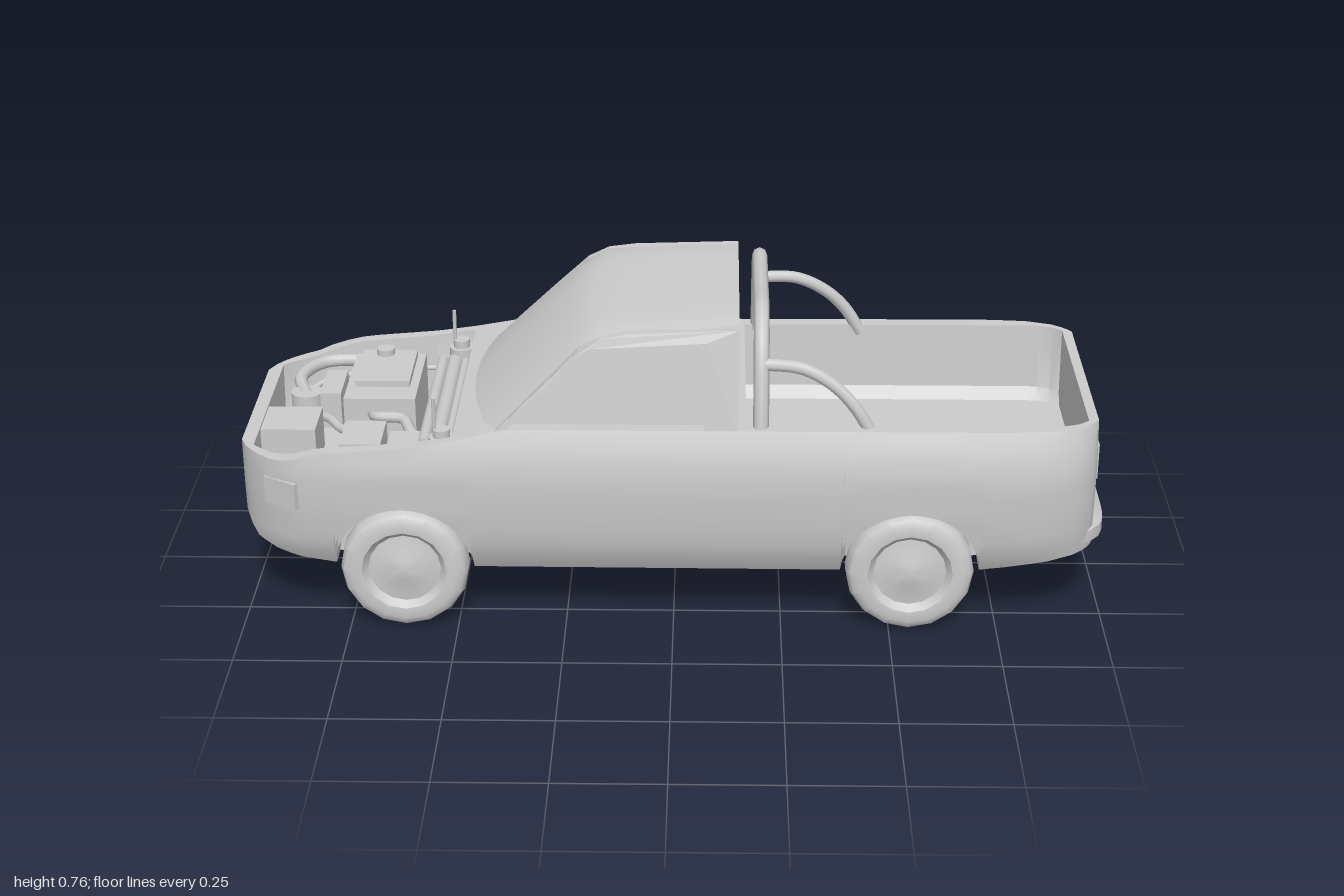
import * as THREE from 'three';
import { toCreasedNormals } from 'three/addons/utils/BufferGeometryUtils.js';

const V = (x, y, z) => new THREE.Vector3(x, y, z);
const V2 = (x, y) => new THREE.Vector2(x, y);

// piecewise-linear lookup in a table of [input, output] pairs
function look(table, t) {
  if (t <= table[0][0]) return table[0][1];
  for (let i = 1; i < table.length; i++) {
    const [a, u] = table[i - 1], [b, v] = table[i];
    if (t <= b) return u + (v - u) * (t - a) / (b - a);
  }
  return table[table.length - 1][1];
}

const halfWidth = [[-1, 0.2], [-0.985, 0.235], [-0.96, 0.27], [-0.92, 0.305], [-0.86, 0.335], [-0.75, 0.35], [-0.4, 0.357],
  [0.4, 0.361], [0.78, 0.361], [0.86, 0.352], [0.92, 0.33], [0.95, 0.305], [0.965, 0.28]];
const bottomY = [[-1, 0.235], [-0.97, 0.19], [-0.9, 0.168], [-0.78, 0.15], [-0.7, 0.145], [0.68, 0.145], [0.8, 0.165], [0.965, 0.195]];
const topY = [[-1, 0.415], [-0.9, 0.415], [-0.8, 0.445], [-0.6, 0.462], [-0.5, 0.478], [-0.38, 0.503], [0.965, 0.506]];
const bulge = [[0.145, 0.86], [0.2, 0.95], [0.3, 0.99], [0.4, 1], [0.46, 0.965], [0.506, 0.91]];
const sideZ = [[0.49, 0.328], [0.6, 0.31], [0.7, 0.292], [0.735, 0.276]];
const AXLES = [-0.62, 0.545], HUB = 0.15, ARCH = 0.16;

// half cross-section [z, y] from bottom centre, up the outside and down the inside
function section(x, floor) {
  const w = look(halfWidth, x), b = look(bottomY, x), t = look(topY, x);
  let low = b;
  for (const a of AXLES) {
    const d = ARCH * ARCH - (x - a) ** 2;
    if (d > 0) low = Math.max(low, HUB + Math.sqrt(d));
  }
  const liner = Math.min(0.24, w * 0.75);
  const pts = [[0, b], [liner, b], [liner, low]];
  for (let i = 0; i <= 9; i++) {
    const y = low + (t - low) * i / 9;
    pts.push([w * look(bulge, y), y]);
  }
  const inner = x < 0 ? w * 0.88 : Math.min(0.293, w - 0.05);
  const f = floor ?? t;
  pts.push([inner, t], [inner - 0.012, f + (t - f) * 0.15], [inner - 0.035, f], [0, f]);
  return pts;
}

function bodyGeometry() {
  const stations = [];
  const add = (x, f) => stations.push([x, f]);
  const bayFloor = 0.27, bedFloor = 0.32;
  const arch = (a, f) => {
    add(a - ARCH - 0.002, f);
    for (let i = 0; i <= 18; i++) add(a - ARCH * Math.cos(Math.PI * i / 18), f);
    add(a + ARCH + 0.002, f);
  };
  [-1, -0.985, -0.968].forEach((x) => add(x));
  [-0.968, -0.95, -0.92, -0.89, -0.86, -0.82].forEach((x) => add(x, bayFloor));
  arch(AXLES[0], bayFloor);
  // the bay ends at the bulkhead; keep the rest solid
  for (const s of stations) if (s[0] > -0.5) s[1] = undefined;
  const k = stations.findIndex((s) => s[0] > -0.5);
  stations.splice(k, 0, [-0.5, bayFloor], [-0.5, undefined]);
  [-0.38, -0.2, 0, 0.165].forEach((x) => add(x));
  [0.165, 0.28].forEach((x) => add(x, bedFloor));
  arch(AXLES[1], bedFloor);
  [0.76, 0.82, 0.86, 0.89, 0.92, 0.942].forEach((x) => add(x, bedFloor));
  [0.942, 0.955, 0.965].forEach((x) => add(x));

  const pos = [], idx = [];
  let n = 0, m = 0;
  stations.forEach(([x, f]) => {
    const half = section(x, f);
    m = half.length;
    const loop = [...half, ...half.map(([z, y]) => [-z, y]).reverse()];
    n = loop.length;
    loop.forEach(([z, y]) => pos.push(x, y, z));
  });
  const quad = (a, b, c, d) => idx.push(a, b, c, a, c, d);
  for (let s = 0; s < stations.length - 1; s++) for (let i = 0; i < n; i++) {
    const j = (i + 1) % n;
    quad(s * n + i, s * n + n + i, s * n + n + j, s * n + j);
  }
  // nose and tail faces
  const e = (stations.length - 1) * n;
  for (let i = 0; i < m - 1; i++) {
    quad(n - 1 - i, i, i + 1, n - 2 - i);
    quad(e + i, e + n - 1 - i, e + n - 2 - i, e + i + 1);
  }
  const g = new THREE.BufferGeometry();
  g.setAttribute('position', new THREE.Float32BufferAttribute(pos, 3));
  g.setIndex(idx);
  return toCreasedNormals(g, 0.6);
}

// move every vertex of a geometry by a rule
function warp(g, rule) {
  const p = g.attributes.position, v = V(0, 0, 0);
  for (let i = 0; i < p.count; i++) {
    rule(v.fromBufferAttribute(p, i));
    p.setXYZ(i, v.x, v.y, v.z);
  }
  g.computeVertexNormals();
  return g;
}

export function createModel() {
  const root = new THREE.Group();
  const grey = new THREE.MeshStandardMaterial({ color: 0xcccccc });
  const thin = new THREE.MeshStandardMaterial({ color: 0xcccccc, side: THREE.DoubleSide });
  const put = (name, geo, x = 0, y = 0, z = 0, mat = grey) => {
    const mesh = new THREE.Mesh(geo, mat);
    mesh.name = name;
    mesh.position.set(x, y, z);
    root.add(mesh);
    return mesh;
  };
  const box = (name, x, y, z, w, h, d) => put(name, new THREE.BoxGeometry(w, h, d), x, y, z);
  const rod = (name, x, y, z, r, h, sides = 12) => put(name, new THREE.CylinderGeometry(r, r, h, sides), x, y, z);
  const tube = (name, pts, r, seg = 24) =>
    put(name, new THREE.TubeGeometry(new THREE.CatmullRomCurve3(pts.map((p) => V(...p))), seg, r, 8), 0, 0, 0, thin);

  put('body', bodyGeometry(), 0, 0, 0, thin);

  // windscreen and roof as one curved sheet: rows of [x, y, forward bow]
  const rows = [[-0.41, 0.495, 0.06], [-0.3, 0.605, 0.05], [-0.215, 0.688, 0.035], [-0.165, 0.72, 0.02], [-0.1, 0.728, 0.01], [0.02, 0.734, 0], [0.147, 0.738, 0]];
  const sheet = warp(new THREE.PlaneGeometry(2, 1, 16, rows.length - 1), (v) => {
    const [x, y, bow] = rows[Math.round((v.y + 0.5) * (rows.length - 1))];
    const u = v.x;
    v.set(x - bow * (1 - u * u), y - 0.012 * u ** 6, -u * (look(sideZ, y) - 0.002));
  });
  put('windscreenAndRoof', sheet, 0, 0, 0, thin);

  // cab sides with recessed windows
  const outline = [[-0.41, 0.49], [-0.3, 0.6], [-0.215, 0.683], [-0.165, 0.71], [-0.1, 0.72], [0.147, 0.729], [0.147, 0.49]].map((p) => V2(...p));
  const opening = [[-0.375, 0.504], [-0.29, 0.6], [-0.225, 0.667], [-0.19, 0.688], [0.075, 0.702], [0.07, 0.504]].map((p) => V2(...p));
  for (const s of [1, -1]) {
    const shape = new THREE.Shape(outline);
    shape.holes.push(new THREE.Path(opening));
    const depth = 0.035;
    const frame = new THREE.ExtrudeGeometry(shape, { depth, bevelEnabled: false });
    warp(frame, (v) => { v.z += s > 0 ? look(sideZ, v.y) - depth : -look(sideZ, v.y); });
    put('cabSide', frame);
    const glass = warp(new THREE.ShapeGeometry(new THREE.Shape(opening)), (v) => { v.z = s * (look(sideZ, v.y) - 0.03); });
    put('sideWindow', glass, 0, 0, 0, thin);
  }

  // rear cab wall with recessed window
  const trapezoid = (w0, y0, w1, y1) => [V2(-w0, y0), V2(w0, y0), V2(w1, y1), V2(-w1, y1)];
  const rear = new THREE.Shape(trapezoid(0.322, 0.49, 0.272, 0.73));
  const rearHole = trapezoid(0.27, 0.54, 0.215, 0.682);
  rear.holes.push(new THREE.Path(rearHole));
  put('rearCabWall', new THREE.ExtrudeGeometry(rear, { depth: 0.045, bevelEnabled: false }).rotateY(Math.PI / 2), 0.103);
  put('rearWindow', new THREE.ShapeGeometry(new THREE.Shape(rearHole)).rotateY(Math.PI / 2), 0.108, 0, 0, thin);

  // roll hoop and its curved stays
  const hoop = [[0.31, 0.47], [0.285, 0.58], [0.258, 0.655], [0.222, 0.705], [0.165, 0.737], [0.06, 0.738]];
  tube('rollHoop', [...hoop, ...hoop.map(([z, y]) => [-z, y]).reverse()].map(([z, y]) => [0.198, y, z]), 0.018, 48);
  for (const s of [1, -1])
    tube('rollHoopStay', [[0.2, 0.642, s * 0.265], [0.29, 0.636, s * 0.275], [0.36, 0.6, s * 0.285], [0.41, 0.55, s * 0.295], [0.45, 0.485, s * 0.3]], 0.015);

  // wheels: tyre, dished rim and hub
  const tread = [[0, -0.045], [0.12, -0.045], [0.14, -0.036], [0.148, -0.018], [0.148, 0.018], [0.14, 0.036], [0.122, 0.045], [0.098, 0.043], [0.084, 0.026], [0.05, 0.03], [0.025, 0.038], [0, 0.04]];
  for (const x of AXLES) for (const s of [1, -1]) {
    const g = new THREE.LatheGeometry(tread.map((p) => V2(...p)), 16);
    put('wheel', toCreasedNormals(g.rotateX(s * Math.PI / 2), 0.7), x, 0.149, s * 0.3);
  }

  // rear bumper, tapering round the corners
  const lip = new THREE.Shape([[0.9, 0.19], [0.975, 0.2], [1, 0.21], [1, 0.24], [0.975, 0.262], [0.962, 0.31], [0.9, 0.31]].map((p) => V2(...p)));
  const bumper = new THREE.ExtrudeGeometry(lip, { depth: 0.64, steps: 20, bevelEnabled: false }).translate(0, 0, -0.32);
  warp(bumper, (v) => { v.x -= 0.1 * Math.abs(v.z / 0.32) ** 8; });
  put('rearBumper', toCreasedNormals(bumper, 0.5));

  // tailgate slats and lamps
  for (const y of [0.319, 0.348, 0.371, 0.394]) box('tailgateSlat', 0.965, y, 0, 0.012, 0.015, 0.39);
  for (const s of [1, -1]) {
    box('tailLamp', 0.962, 0.41, s * 0.255, 0.012, 0.085, 0.04);
    box('headlamp', -0.895, 0.336, s * 0.313, 0.09, 0.065, 0.016).rotation.y = -s * 0.56;
  }
  box('frontPlate', -0.996, 0.33, 0, 0.008, 0.075, 0.2);

  // engine bay
  box('engineBlock', -0.7, 0.36, -0.1, 0.17, 0.17, 0.27);
  box('engineCover', -0.7, 0.445, -0.13, 0.13, 0.03, 0.19);
  rod('oilCap', -0.71, 0.465, -0.2, 0.022, 0.02);
  box('airBox', -0.905, 0.36, 0.07, 0.13, 0.1, 0.13);
  box('battery', -0.72, 0.36, 0.19, 0.095, 0.14, 0.13);
  box('fuseBox', -0.62, 0.37, 0.225, 0.075, 0.12, 0.09);
  box('intake', -0.83, 0.37, -0.13, 0.05, 0.09, 0.14);
  rod('pulley', -0.89, 0.385, -0.085, 0.038, 0.05, 16);
  for (const [x, r] of [[-0.575, 0.014], [-0.545, 0.018], [-0.52, 0.01]])
    rod('crossPipe', x, 0.425, 0, r, 0.48).rotation.x = Math.PI / 2;
  for (const s of [1, -1]) {
    rod('strutTower', -0.53, 0.4, s * 0.26, 0.03, 0.11);
    rod('strutCap', -0.53, 0.462, s * 0.26, 0.02, 0.025);
    rod('thinRod', -0.546, 0.505, s * 0.26, 0.005, 0.09, 6);
    tube('sidePipe', [[-0.93, 0.34, s * 0.2], [-0.86, 0.36, s * 0.27], [-0.72, 0.38, s * 0.285], [-0.56, 0.39, s * 0.28]], 0.007);
  }
  tube('intakeHose', [[-0.89, 0.4, -0.08], [-0.915, 0.41, -0.17], [-0.87, 0.41, -0.26], [-0.77, 0.41, -0.27], [-0.7, 0.4, -0.24]], 0.016);
  tube('coolantHose', [[-0.72, 0.4, 0.02], [-0.7, 0.42, 0.08], [-0.64, 0.42, 0.09], [-0.61, 0.41, 0.15], [-0.56, 0.4, 0.19]], 0.013);
  tube('frontHose', [[-0.88, 0.36, -0.04], [-0.83, 0.38, 0], [-0.79, 0.38, 0.06], [-0.73, 0.39, 0.13]], 0.011);
  return root;
}
